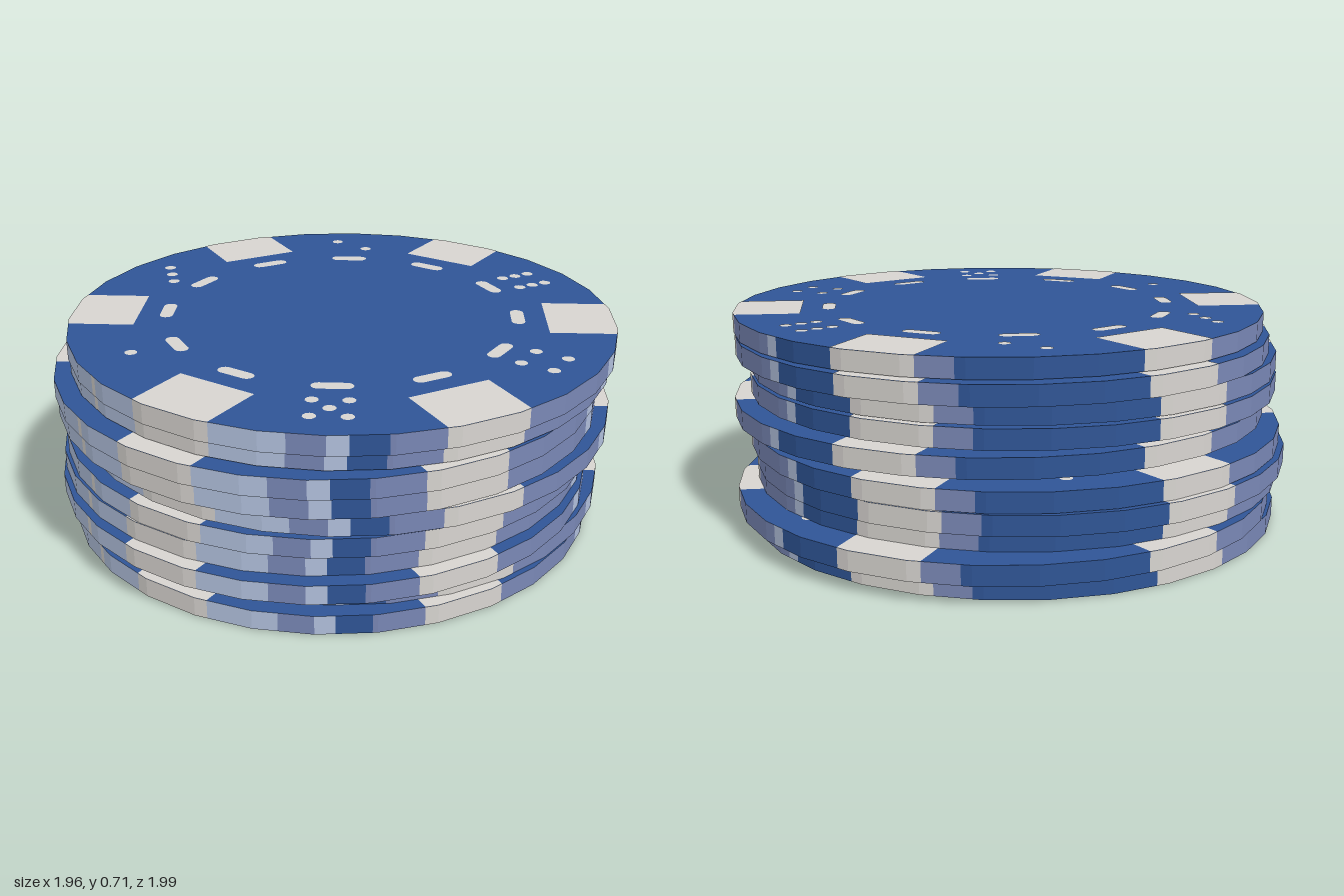
import * as THREE from 'three';
import { mergeGeometries } from 'three/addons/utils/BufferGeometryUtils.js';

const RADIUS = 0.93, THICK = 0.066, STEP = 12; // 30-sided chips
const RAD = Math.PI / 180;

const mat = (name, hex, side = THREE.FrontSide) => {
  const m = new THREE.MeshStandardMaterial({ color: hex, side });
  m.name = name;
  return m;
};

// Point on the 30-sided rim; the angle runs from +x towards -z
function rimPoint(deg) {
  const a = ((deg % STEP) + STEP) % STEP - STEP / 2;
  const r = RADIUS * Math.cos(STEP / 2 * RAD) / Math.cos(a * RAD);
  return new THREE.Vector2(r * Math.cos(deg * RAD), r * Math.sin(deg * RAD));
}

// Rim points from angle a to b, with every corner in between
function rimArc(a, b) {
  const pts = [rimPoint(a)];
  for (let d = (Math.floor(a / STEP) + 1) * STEP; d < b; d += STEP) pts.push(rimPoint(d));
  pts.push(rimPoint(b));
  return pts;
}

// Flat-shaded strip of the chip's edge
function rimBand([a, b]) {
  const pts = rimArc(a, b), pos = [], h = THICK / 2;
  for (let i = 0; i < pts.length - 1; i++) {
    const p = pts[i], q = pts[i + 1];
    pos.push(p.x, -h, -p.y, q.x, -h, -q.y, q.x, h, -q.y);
    pos.push(p.x, -h, -p.y, q.x, h, -q.y, p.x, h, -p.y);
  }
  const g = new THREE.BufferGeometry();
  g.setAttribute('position', new THREE.Float32BufferAttribute(pos, 3));
  g.computeVertexNormals();
  return g;
}

// The same outlines laid on the top and the underside
function bothFaces(outlines, lift) {
  return mergeGeometries([1, -1].map((s) => {
    const shapes = outlines.map((o) => new THREE.Shape(o.map((p) => new THREE.Vector2(p.x, s * p.y))));
    return new THREE.ShapeGeometry(shapes).rotateX(-s * Math.PI / 2).translate(0, s * (THICK / 2 + lift), 0);
  }));
}

// Outline moved to a radius and turned about the chip's centre
const place = (pts, radius, deg) => pts.map((p) =>
  new THREE.Vector2(p.x + radius, p.y).rotateAround(new THREE.Vector2(), deg * RAD));

function capsule(halfLength, r) {
  const pts = [];
  for (let i = 0; i <= 6; i++) {
    const a = i * Math.PI / 6;
    pts.push(new THREE.Vector2(r * Math.cos(a), halfLength - r + r * Math.sin(a)));
  }
  return [...pts, ...pts.map((p) => new THREE.Vector2(-p.x, -p.y))];
}

function disc(r) {
  return Array.from({ length: 10 }, (_, i) =>
    new THREE.Vector2(r * Math.cos(i * Math.PI / 5), r * Math.sin(i * Math.PI / 5)));
}

export function createModel() {
  const blue = mat('blue', 0x2f5596);
  const white = mat('offWhite', 0xd7d4d0);
  const slate = mat('slateBlue', 0x7987b5);
  const sky = mat('paleBlue', 0xb2c1de);

  // Edge blocks, square from the inner end out to the rim
  const HALF = 8.66, blocks = [], blockArcs = [];
  for (let d = -90; d < 270; d += 60) {
    const inner = [0.14, -0.14].map((y) => new THREE.Vector2(0, y));
    blocks.push([...rimArc(d - HALF, d + HALF), ...place(inner, 0.695, d)]);
    blockArcs.push([d - HALF, d + HALF]);
  }

  // Ring of dashes
  const dashes = [];
  for (let d = 0; d < 360; d += 30) dashes.push(place(capsule(0.066, 0.023), 0.6, d));

  // Pips counting one to six between the blocks: [outward, sideways]
  const q = 0.055;
  const pips = [
    [0, [[-q, -q], [q, -q], [-q, q], [q, q]]],
    [60, [[-q, -q], [0, -q], [q, -q], [-q, q], [0, q], [q, q]]],
    [120, [[q, q], [-0.03, -0.06]]],
    [180, [[-q, q], [0, 0], [q, -q]]],
    [240, [[0, 0]]],
    [300, [[0, 0], [-q, -q], [q, -q], [-q, q], [q, q]]],
  ];
  const dots = pips.flatMap(([deg, list]) => list.map(([out, side]) =>
    place(disc(0.021).map((p) => new THREE.Vector2(p.x, p.y + side)), 0.755 + out, deg)));

  // Painted sections of the edge, in degrees
  const edge = [
    ['blueEdge', blue, [[-141.34, -138], [-56, -49], [66, 81.34], [106, 141.34]]],
    ['paleEdge', sky, [[-138, -113], [-111.5, -98.66], [-81.34, -67], [-60, -56], [8, 11.5], [63, 66]]],
    ['slateEdge', slate, [[-67, -60], [-49, -38.66], [-21.34, 8], [11.5, 21.34], [38.66, 63],
      [98.66, 106], [158.66, 201.34]]],
    ['whiteEdge', white, [...blockArcs, [-113, -111.5]]],
  ];

  const parts = [
    ['chipFaces', bothFaces([rimArc(0, 348)], 0), blue],
    ['edgeBlocks', bothFaces(blocks, 0.001), white],
    ['dashRing', bothFaces(dashes, 0.001), white],
    ['pips', bothFaces(dots, 0.001), white],
    ...edge.map(([name, m, arcs]) => [name, mergeGeometries(arcs.map(rimBand)), m]),
  ];

  // Uneven stack, bottom to top: x, base y, z
  const stack = [
    [-0.02, 0, 0], [-0.015, 0.068, -0.07], [-0.02, 0.134, 0.045], [-0.05, 0.2, 0], [-0.03, 0.268, 0],
    [0.03, 0.363, 0], [0, 0.438, 0.055], [0.005, 0.509, 0.07], [0.02, 0.578, 0.003], [0.05, 0.647, 0.04],
  ];
  const model = new THREE.Group();
  model.name = 'chipStack';
  stack.forEach(([x, y, z], i) => {
    const chip = new THREE.Group();
    chip.name = `chip${i + 1}`;
    for (const [name, geometry, material] of parts) {
      const mesh = new THREE.Mesh(geometry, material);
      mesh.name = name;
      chip.add(mesh);
    }
    chip.position.set(x, y + 0.001 + THICK / 2, z);
    chip.rotation.y = -0.015;
    model.add(chip);
  });
  return model;
}
